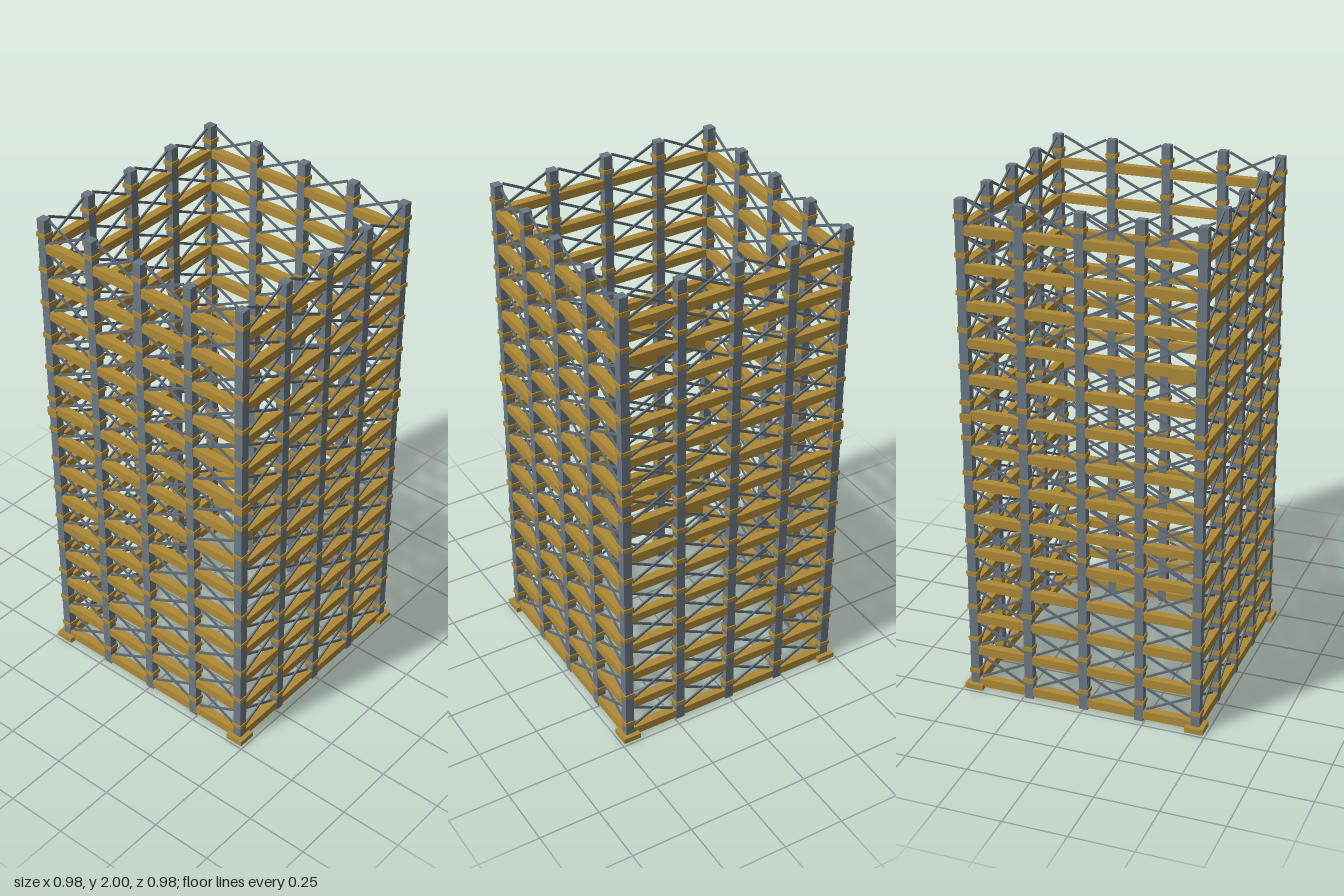
import * as THREE from 'three';
import { mergeGeometries } from 'three/addons/utils/BufferGeometryUtils.js';

const STOREYS = 14, STOREY = 2 / STOREYS;
const HALF = 0.455, BAY = HALF / 2;
const COLUMN = 0.035, BEAM_H = 0.035, BEAM_D = 0.034;

// Box centred at a point, optionally rolled about z
function box(w, h, d, x, y, z, roll = 0) {
  return new THREE.BoxGeometry(w, h, d).rotateZ(roll).translate(x, y, z);
}

export function createModel() {
  const gold = new THREE.MeshStandardMaterial({ color: 0xae8a38 });
  gold.name = 'ochre paint';
  const steel = new THREE.MeshStandardMaterial({ color: 0x6c7883 });
  steel.name = 'grey steel';
  const braceSteel = new THREE.MeshStandardMaterial({ color: 0x636e79 });
  braceSteel.name = 'brace steel';

  const root = new THREE.Group();
  root.name = 'towerFrame';
  const add = (parent, name, parts, material) => {
    const mesh = new THREE.Mesh(mergeGeometries(parts), material);
    mesh.name = name;
    parent.add(mesh);
  };

  // Each side owns one corner column and the three columns after it
  for (let side = 0; side < 4; side++) {
    const columns = [], collars = [], beams = [], braces = [], footing = [], splice = [];

    for (let i = 0; i < 4; i++) {
      const x = -HALF + i * BAY;
      columns.push(box(COLUMN, 2, COLUMN, x, 1, HALF));

      for (let s = 0; s < STOREYS; s++) {
        const base = s * STOREY;
        collars.push(box(0.043, 0.018, 0.043, x, base + 0.079, HALF));

        // Floor beam between neighbouring columns
        const mid = x + BAY / 2;
        beams.push(box(BAY - COLUMN, BEAM_H, BEAM_D, mid, base + 0.028, HALF));

        // Crossed diagonals, one just in front of the other
        const dx = 0.176, dy = 0.088;
        for (const sign of [-1, 1]) {
          braces.push(box(Math.hypot(dx, dy), 0.009, 0.006, mid, base + 0.093,
            HALF + sign * 0.003, sign * Math.atan2(dy, dx)));
        }
      }
    }

    // Corner base plate and the mid-height splice
    footing.push(box(0.073, 0.022, 0.073, -HALF, 0.014, HALF));
    splice.push(box(0.046, 0.036, 0.046, -HALF, 1.158, HALF));

    const group = new THREE.Group();
    group.name = 'frameSide' + (side + 1);
    group.rotation.y = side * Math.PI / 2;
    add(group, 'columns', columns, steel);
    add(group, 'columnCollars', collars, gold);
    add(group, 'floorBeams', beams, gold);
    add(group, 'crossBraces', braces, braceSteel);
    add(group, 'basePlate', footing, gold);
    add(group, 'cornerSplice', splice, gold);
    root.add(group);
  }
  return root;
}
